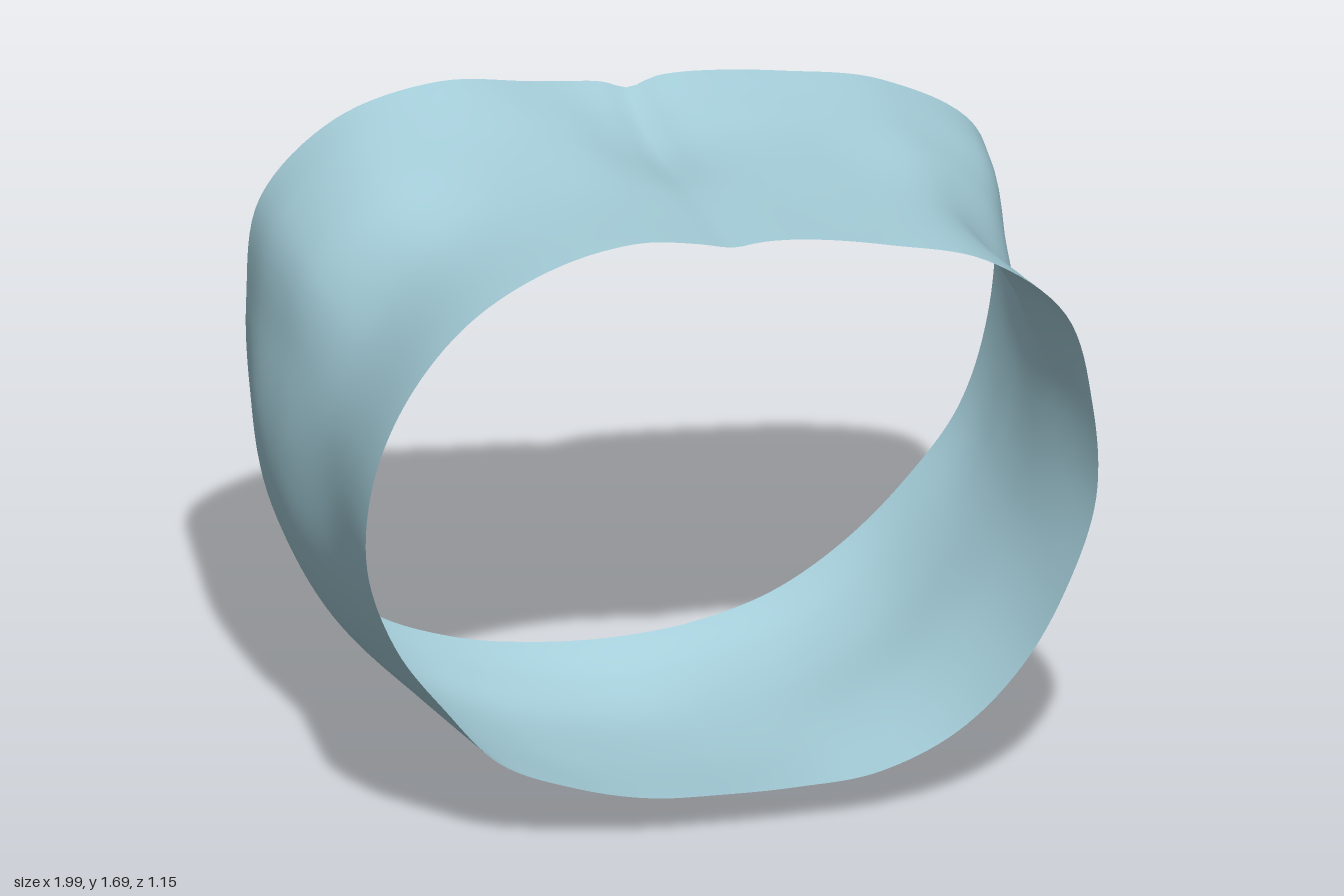
import * as THREE from 'three';

const CENTRE_Y = 0.85;

// Cross-sections, front to back: radius every 15 degrees, counter-clockwise from +x
const sections = [
  { z: 0.575, r: [0.985, 1.01, 1.045, 0.985, 0.885, 0.835, 0.815, 0.87, 0.91, 0.94, 0.95, 0.95,
    0.935, 0.89, 0.84, 0.825, 0.775, 0.745, 0.73, 0.755, 0.82, 0.875, 0.91, 0.94] },
  { z: 0.15, r: [0.945, 0.965, 0.96, 0.955, 0.865, 0.80, 0.78, 0.83, 0.89, 0.94, 0.95, 0.945,
    0.93, 0.925, 0.91, 0.89, 0.855, 0.82, 0.81, 0.815, 0.835, 0.865, 0.895, 0.925] },
  { z: -0.2, r: [0.955, 0.985, 1.03, 0.98, 0.855, 0.78, 0.735, 0.82, 0.90, 1.015, 1.05, 1.0,
    0.985, 0.98, 0.965, 0.935, 0.895, 0.86, 0.848, 0.84, 0.86, 0.885, 0.90, 0.93] },
  { z: -0.4, r: [0.965, 1.01, 1.075, 0.985, 0.86, 0.79, 0.745, 0.82, 0.92, 1.04, 1.08, 1.02,
    0.995, 0.98, 0.96, 0.935, 0.88, 0.845, 0.83, 0.83, 0.85, 0.87, 0.89, 0.935] },
  { z: -0.575, r: [0.975, 1.03, 1.09, 0.99, 0.87, 0.805, 0.775, 0.82, 0.945, 1.05, 1.085, 1.01,
    0.965, 0.96, 0.945, 0.92, 0.86, 0.81, 0.79, 0.795, 0.815, 0.835, 0.87, 0.93] },
];

// Smooth closed outline of one section
function outline({ z, r }) {
  const points = r.map((radius, i) => {
    const a = (i / r.length) * Math.PI * 2;
    return new THREE.Vector3(radius * Math.cos(a), CENTRE_Y + radius * Math.sin(a), z);
  });
  return new THREE.CatmullRomCurve3(points, true, 'catmullrom', 0.5);
}

// Skin lofted through the sections, with open front and back
function loft(around, along) {
  const outlines = sections.map(outline);
  const positions = [];
  const indices = [];
  for (let i = 0; i < around; i++) {
    const rib = new THREE.CatmullRomCurve3(outlines.map((c) => c.getPoint(i / around)));
    for (let j = 0; j <= along; j++) {
      const t = j / along;
      const p = rib.getPoint(t);
      // Narrow groove down the middle of the top, deepening to the back
      if (p.y > CENTRE_Y) {
        p.y -= (0.01 + 0.015 * t) * Math.exp(-(((p.x - 0.03) / 0.05) ** 2));
      }
      positions.push(p.x, p.y, p.z);
    }
  }
  const row = along + 1;
  for (let i = 0; i < around; i++) {
    const next = (i + 1) % around;
    for (let j = 0; j < along; j++) {
      const a = i * row + j;
      const b = next * row + j;
      indices.push(a, b, a + 1, b, b + 1, a + 1);
    }
  }
  const geometry = new THREE.BufferGeometry();
  geometry.setAttribute('position', new THREE.Float32BufferAttribute(positions, 3));
  geometry.setIndex(indices);
  geometry.computeVertexNormals();
  return geometry;
}

export function createModel() {
  const group = new THREE.Group();
  group.name = 'torsoBand';
  const skin = new THREE.Mesh(
    loft(192, 40),
    new THREE.MeshStandardMaterial({ color: 0xa9d3df, side: THREE.DoubleSide }));
  skin.name = 'bodyShell';
  group.add(skin);
  return group;
}
